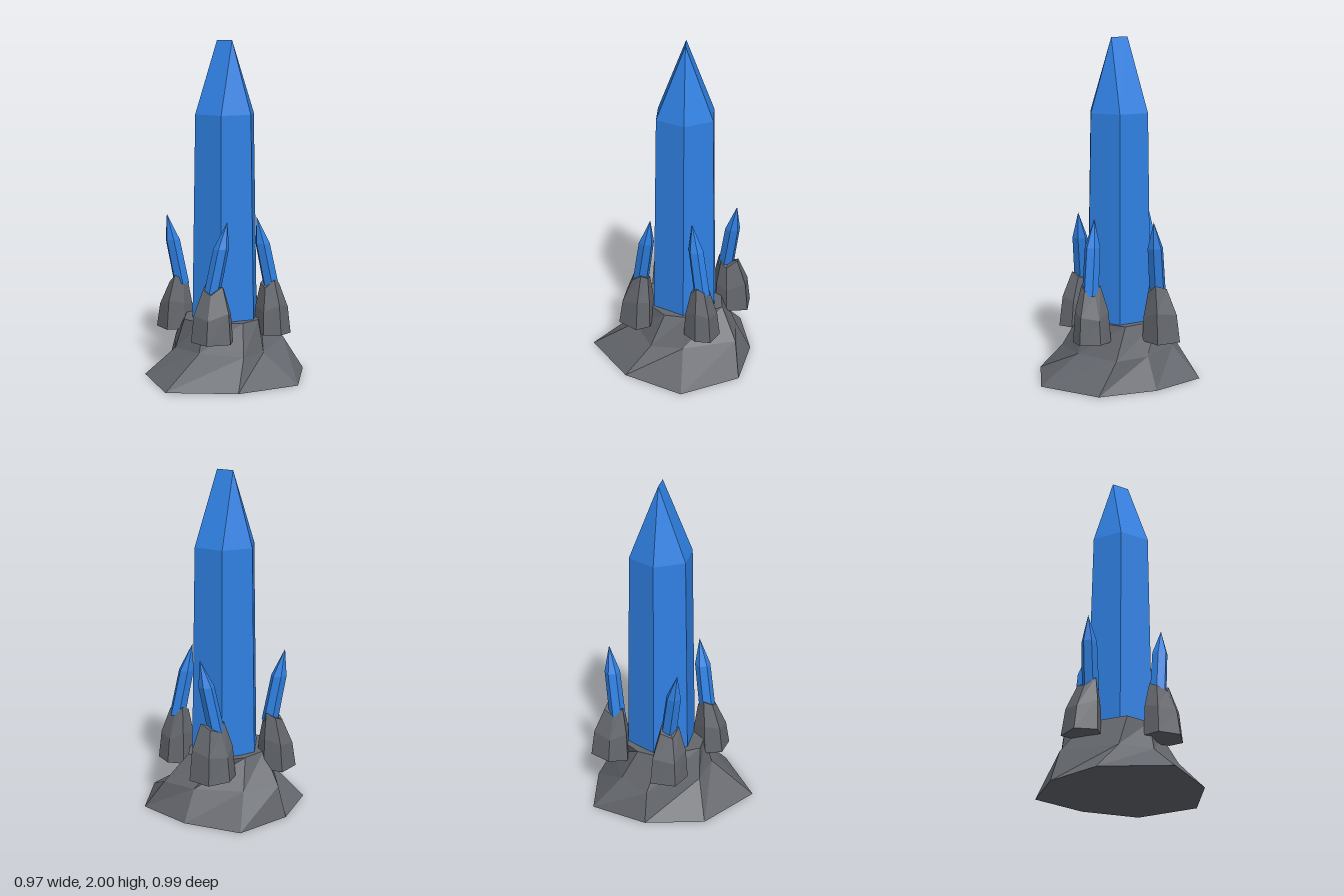
import * as THREE from 'three';

const blue = new THREE.MeshStandardMaterial({ color: 0x2f80e2, flatShading: true });
blue.name = 'crystalBlue';
const grey = new THREE.MeshStandardMaterial({ color: 0x64676d, flatShading: true });
grey.name = 'rockGrey';

// Faceted solid through rings of [x, y, z], counter-clockwise seen from above, with capped ends
function loft(name, rings, material) {
  const pos = [];
  const same = (p, q) => p.every((v, i) => Math.abs(v - q[i]) < 1e-5);
  const tri = (a, b, c) => {
    if (!same(a, b) && !same(b, c) && !same(a, c)) pos.push(...a, ...b, ...c);
  };
  const centre = (r) => [0, 1, 2].map((k) => r.reduce((s, p) => s + p[k], 0) / r.length);
  const n = rings[0].length;
  const low = rings[0], top = rings[rings.length - 1];
  const cLow = centre(low), cTop = centre(top);
  for (let i = 0; i < n; i++) {
    const j = (i + 1) % n;
    for (let k = 0; k + 1 < rings.length; k++) {
      const a = rings[k], b = rings[k + 1];
      tri(a[i], a[j], b[j]);
      tri(a[i], b[j], b[i]);
    }
    tri(cLow, low[j], low[i]);
    tri(cTop, top[i], top[j]);
  }
  const g = new THREE.BufferGeometry();
  g.setAttribute('position', new THREE.Float32BufferAttribute(pos, 3));
  g.computeVertexNormals();
  const mesh = new THREE.Mesh(g, material);
  mesh.name = name;
  return mesh;
}

// Regular hexagon ring with a corner on the x axis, turned by an angle
function hex(x, y, z, r, turn = 0) {
  return Array.from({ length: 6 }, (_, i) => {
    const a = turn + (i * Math.PI) / 3;
    return [x + r * Math.cos(a), y, z - r * Math.sin(a)];
  });
}

// Rock outlines [x, z] at their foot, where the rock top sits, and the crystal's foot and tip
const clusters = [
  { name: 'left', outline: [[-0.44, 0.09], [-0.32, 0.14], [-0.25, 0.06], [-0.24, -0.02], [-0.32, -0.07], [-0.44, -0.06]],
    top: [-0.31, 0.025], foot: [-0.3, 0.02], tip: [-0.36, 0.085] },
  { name: 'front', outline: [[-0.02, 0.29], [0.11, 0.31], [0.2, 0.2], [0.16, 0.12], [0.03, 0.1], [-0.055, 0.19]],
    top: [0.06, 0.175], foot: [0.05, 0.18], tip: [0.115, 0.115] },
  { name: 'right', outline: [[0.12, -0.27], [0.12, -0.15], [0.23, -0.09], [0.31, -0.16], [0.318, -0.25], [0.21, -0.305]],
    top: [0.21, -0.185], foot: [0.215, -0.195], tip: [0.15, -0.13] },
  { name: 'back', outline: [[-0.275, -0.36], [-0.24, -0.25], [-0.11, -0.27], [-0.05, -0.34], [-0.07, -0.47], [-0.215, -0.485]],
    top: [-0.145, -0.345], foot: [-0.16, -0.33], tip: [-0.09, -0.39] },
];

function smallCluster({ name, outline, top, foot, tip }, index) {
  const g = new THREE.Group();
  g.name = name + 'Cluster';
  const mid = [0, 1].map((k) => outline.reduce((s, p) => s + p[k], 0) / outline.length);
  // Rock: a steep block with a chipped, uneven top
  const ring = (t, scale, y, jag) => outline.map((p, i) => [
    mid[0] + (top[0] - mid[0]) * t + (p[0] - mid[0]) * scale, y + ((i * 2 + index) % 3) * jag,
    mid[1] + (top[1] - mid[1]) * t + (p[1] - mid[1]) * scale]);
  g.add(loft(name + 'Rock', [ring(0, 1, 0.26, 0), ring(0.3, 0.88, 0.4, 0.02), ring(1, 0.5, 0.54, 0.025)], grey));
  // Leaning crystal with a pointed tip
  const at = (t) => [0, 1].map((k) => foot[k] + (tip[k] - foot[k]) * t);
  const s = at(0.6);
  const turn = index * 0.5 + 0.3;
  g.add(loft(name + 'Crystal', [
    hex(foot[0], 0.535, foot[1], 0.049, turn),
    hex(s[0], 0.805, s[1], 0.046, turn),
    hex(tip[0], 0.962, tip[1], 0, turn)], blue));
  return g;
}

export function createModel() {
  const model = new THREE.Group();
  model.name = 'crystalFormation';

  // Rock mound: wide foot, steep shoulder, flat plateau
  model.add(loft('baseRock', [
    [[-0.05, 0, 0.492], [0.3, 0, 0.26], [0.482, 0, -0.085], [0.295, 0, -0.425],
      [-0.05, 0, -0.495], [-0.395, 0, -0.43], [-0.484, 0, -0.085], [-0.395, 0, 0.26]],
    [[-0.01, 0.18, 0.225], [0.23, 0.17, 0.11], [0.235, 0.16, -0.085], [0.165, 0.18, -0.4],
      [-0.05, 0.18, -0.4], [-0.31, 0.18, -0.27], [-0.43, 0.18, -0.085], [-0.215, 0.18, 0.19]],
    [[-0.01, 0.35, 0.18], [0.165, 0.35, 0.03], [0.185, 0.35, -0.1], [0.05, 0.35, -0.315],
      [-0.17, 0.35, -0.3], [-0.26, 0.35, -0.18], [-0.3, 0.36, -0.04], [-0.155, 0.36, 0.18]],
  ], grey));

  // Tall six-sided crystal, closing to a chisel ridge
  const ridge = [0.005, 0.005, -0.105, -0.105, -0.105, 0.005].map((x) => [x, 2, -0.08]);
  model.add(loft('mainCrystal', [
    hex(-0.048, 0.345, -0.082, 0.212),
    hex(-0.048, 1.57, -0.08, 0.189),
    ridge], blue));

  clusters.forEach((c, i) => model.add(smallCluster(c, i)));
  return model;
}
